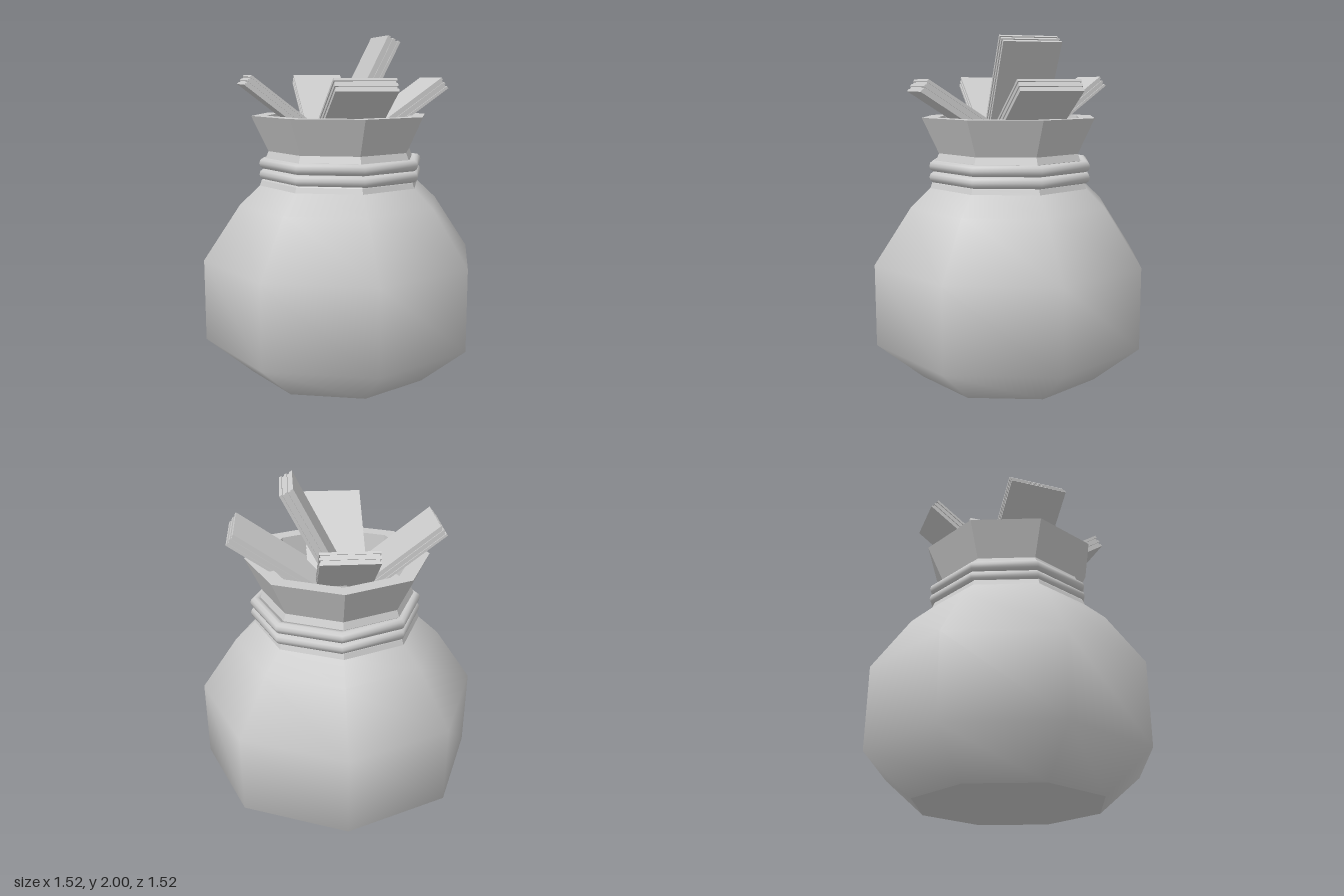
import * as THREE from 'three';

const SIDES = 8;
const toRadius = 1 / Math.cos(Math.PI / SIDES); // flat-to-flat distance -> corner radius
const deg = THREE.MathUtils.degToRad;

const smooth = new THREE.MeshStandardMaterial({ color: 0xcccccc });
const flat = new THREE.MeshStandardMaterial({ color: 0xcccccc, flatShading: true });

// Eight-sided lathe from [half width, height] pairs, flat side facing front
function octagonLathe(name, profile, material) {
  const points = profile.map(([r, y]) => new THREE.Vector2(r * toRadius, y));
  const geometry = new THREE.LatheGeometry(points, SIDES, Math.PI / SIDES);
  const mesh = new THREE.Mesh(geometry, material);
  mesh.name = name;
  return mesh;
}

// Stack of thin layers; its origin is the lower outer edge, tilted up and turned outward
function paperBundle({ name, x, y, z, turn, tilt, width, thickness, length }) {
  const bundle = new THREE.Group();
  bundle.name = name;
  const layers = 5;
  const h = thickness / layers;
  for (let i = 0; i < layers; i++) {
    const inset = i % 2 ? 0.006 : 0;
    const layer = new THREE.Mesh(
      new THREE.BoxGeometry(length - inset, h, width - inset * 2), flat);
    layer.name = 'paperLayer';
    layer.position.set(-length / 2 - inset / 2, h * (i + 0.5), 0);
    bundle.add(layer);
  }
  bundle.position.set(x, y, z);
  bundle.rotation.set(0, deg(turn), deg(tilt), 'YZX');
  return bundle;
}

export function createModel() {
  const model = new THREE.Group();
  model.name = 'moneySack';

  // Sack body and flat base
  model.add(octagonLathe('sackBody',
    [[0.51, 0], [0.76, 0.23], [0.76, 0.71], [0.56, 1.03], [0.44, 1.15]], smooth));
  model.add(octagonLathe('sackBase', [[0, 0], [0.51, 0]], flat));

  // Gathered neck, flared collar with a thick lip, and the inside
  model.add(octagonLathe('neckAndCollar', [
    [0.45, 1.14], [0.44, 1.17], [0.40, 1.235], [0.415, 1.3], [0.40, 1.34],
    [0.49, 1.545], [0.405, 1.545], [0.39, 1.36], [0, 1.36],
  ], flat));

  // Two turns of rope
  for (const y of [1.205, 1.27]) {
    const rope = new THREE.Mesh(
      new THREE.TorusGeometry(0.43 * toRadius, 0.033, 10, SIDES), smooth);
    rope.name = 'rope';
    rope.geometry.rotateZ(Math.PI / SIDES).rotateX(Math.PI / 2);
    rope.position.set(0.008, y, -0.008);
    model.add(rope);
  }

  // Paper bundles fanning out of the opening
  const bundles = [
    { name: 'leftBundle', x: 0.559, y: 1.70, z: -0.249, turn: 22.5, tilt: 35, width: 0.36, thickness: 0.075, length: 0.72 },
    { name: 'backBundle', x: -0.239, y: 1.724, z: -0.512, turn: 112.5, tilt: 37, width: 0.31, thickness: 0.067, length: 0.7 },
    { name: 'rightBundle', x: -0.551, y: 1.724, z: 0.196, turn: 202.5, tilt: 38, width: 0.335, thickness: 0.068, length: 0.7 },
    { name: 'frontBundle', x: 0.218, y: 1.693, z: 0.531, turn: 292.5, tilt: 33, width: 0.345, thickness: 0.082, length: 0.7 },
    { name: 'tallBundle', x: 0.284, y: 1.963, z: -0.143, turn: 22.5, tilt: 63, width: 0.345, thickness: 0.082, length: 0.72 },
  ];
  bundles.forEach((b) => model.add(paperBundle(b)));

  return model;
}
